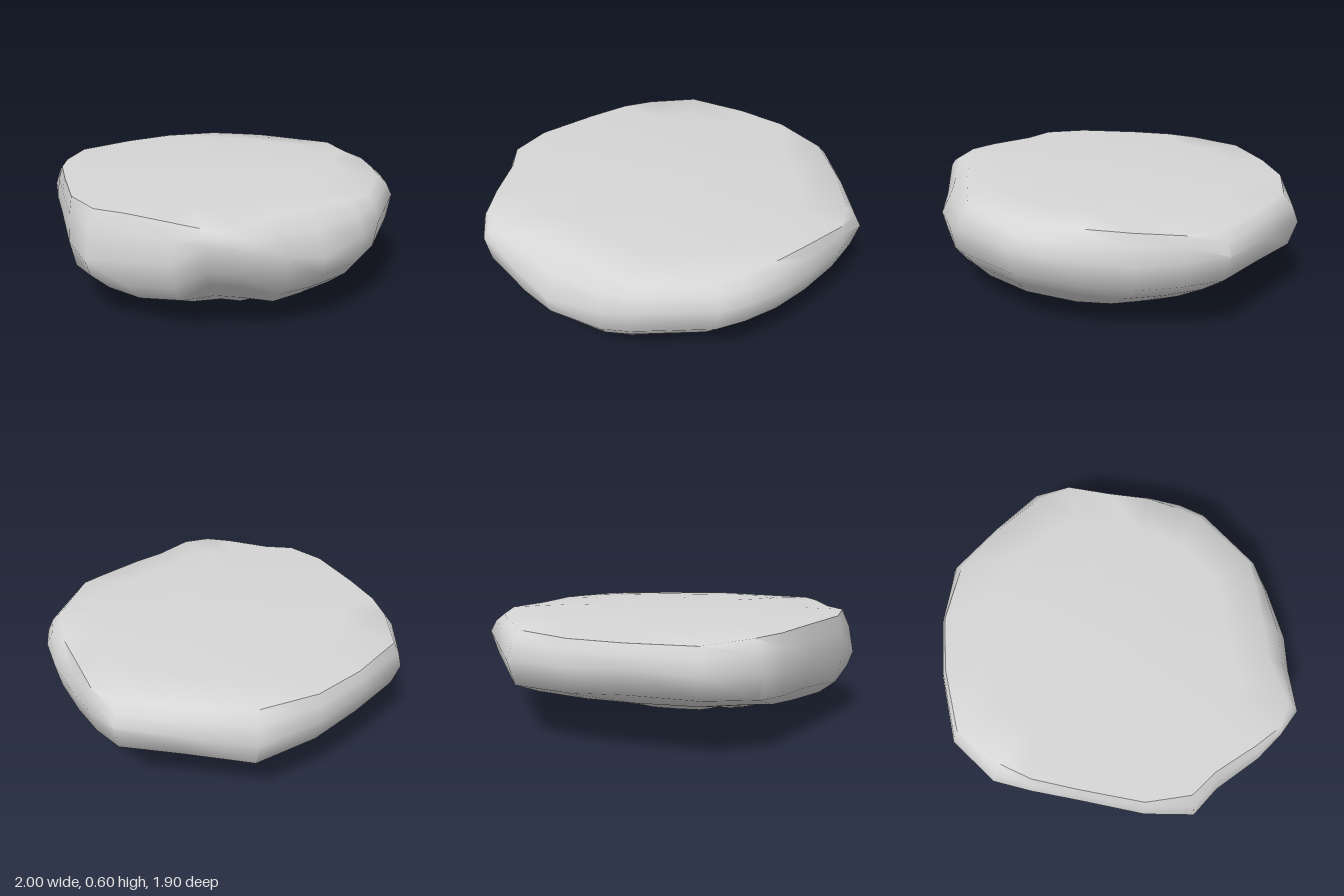
import * as THREE from 'three';
import { toCreasedNormals } from 'three/addons/utils/BufferGeometryUtils.js';

// Outline corners, clockwise from above: x, z, height of widest point, rim height, rim inset
const OUTLINE = [
  [-0.36, -0.95, 0.43, 0.56, 0.05], [0.0, -0.95, 0.45, 0.56, 0.04], [0.30, -0.91, 0.43, 0.56, 0.04],
  [0.63, -0.80, 0.42, 0.56, 0.08], [0.82, -0.52, 0.44, 0.56, 0.06], [1.0, -0.25, 0.45, 0.55, 0.08],
  [0.97, -0.05, 0.43, 0.56, 0.02], [0.90, 0.18, 0.41, 0.56, 0.05], [0.83, 0.40, 0.43, 0.57, 0.07],
  [0.74, 0.58, 0.45, 0.565, 0.09], [0.64, 0.70, 0.45, 0.565, 0.09], [0.27, 0.90, 0.43, 0.555, 0.07],
  [0.12, 0.93, 0.40, 0.56, 0.11], [-0.17, 0.95, 0.37, 0.57, 0.16], [-0.37, 0.90, 0.41, 0.57, 0.14],
  [-0.62, 0.85, 0.50, 0.56, 0.06], [-0.72, 0.73, 0.50, 0.57, 0.03], [-0.80, 0.60, 0.40, 0.575, 0.05],
  [-0.90, 0.35, 0.36, 0.575, 0.06], [-1.0, 0.20, 0.34, 0.58, 0.07], [-0.94, -0.05, 0.35, 0.58, 0.03],
  [-0.80, -0.37, 0.39, 0.58, 0.03], [-0.70, -0.60, 0.40, 0.575, 0.04], [-0.61, -0.78, 0.42, 0.57, 0.08],
];

// Underside height along x and along z
const KEEL_X = [[-1, 0.33], [-0.96, 0.23], [-0.82, 0.13], [-0.55, 0.11], [-0.4, 0.06], [-0.1, 0],
  [0.2, 0.03], [0.42, 0.09], [0.68, 0.1], [0.98, 0.31], [1, 0.38]];
const KEEL_Z = [[-0.95, 0.33], [-0.8, 0.25], [-0.6, 0.2], [-0.4, 0.13], [-0.17, 0.04], [0.05, 0.05],
  [0.3, 0], [0.5, 0.06], [0.76, 0.11], [0.92, 0.24], [0.95, 0.34]];

// Rounded lower edge: scale toward the lowest point, greatest drop below the widest line
const LOWER = [[0.97, 0.13], [0.87, 0.22], [0.74, 0.32], [0.58, 0.4], [0.4, 0.5], [0.2, 0.5]];

function sample(table, t) {
  if (t <= table[0][0]) return table[0][1];
  for (let i = 1; i < table.length; i++) {
    const [a, ya] = table[i - 1], [b, yb] = table[i];
    if (t <= b) return ya + (yb - ya) * (t - a) / (b - a);
  }
  return table[table.length - 1][1];
}

function underside(x, z) {
  return Math.hypot(sample(KEEL_X, x), sample(KEEL_Z, z));
}

function stoneGeometry() {
  const low = [-0.1, 0.3]; // lowest point of the underside
  const rings = [];

  // Nearly flat top, slightly domed toward the middle
  for (const s of [0.4, 0.75, 1]) {
    rings.push(OUTLINE.map(([x, z, , rim, inset]) => {
      const k = (1 - inset) * s;
      return [x * k, 0.6 - (0.6 - rim) * s * s, z * k];
    }));
  }
  // Rounded shoulder, then the widest line
  rings.push(OUTLINE.map(([x, z, wide, rim, inset]) => {
    const k = 1 - inset * 0.4;
    return [x * k, wide + (rim - wide) * 0.6, z * k];
  }));
  rings.push(OUTLINE.map(([x, z, wide]) => [x, wide, z]));
  // Underside, closing in on the lowest point
  for (const [s, drop] of LOWER) {
    rings.push(OUTLINE.map(([x, z, wide]) => {
      const px = low[0] + (x - low[0]) * s, pz = low[1] + (z - low[1]) * s;
      const floor = Math.min(underside(px, pz), wide - 0.08);
      return [px, Math.max(floor, wide - drop), pz];
    }));
  }

  const n = OUTLINE.length, index = [];
  const points = rings.flat();
  const top = points.push([0, 0.6, 0]) - 1;
  const bottom = points.push([low[0], 0, low[1]]) - 1;
  const last = (rings.length - 1) * n;
  for (let j = 0; j < n; j++) {
    const k = (j + 1) % n;
    index.push(top, k, j, last + j, last + k, bottom);
    for (let i = 0; i < last; i += n) {
      index.push(i + j, i + k, i + n + j, i + k, i + n + k, i + n + j);
    }
  }
  const geometry = new THREE.BufferGeometry();
  geometry.setAttribute('position', new THREE.Float32BufferAttribute(points.flat(), 3));
  geometry.setIndex(index);
  return toCreasedNormals(geometry, 0.95);
}

export function createModel() {
  const group = new THREE.Group();
  group.name = 'flatRock';
  const stoneGrey = new THREE.MeshStandardMaterial({ color: 0xd6d6d6 });
  stoneGrey.name = 'stoneGrey';
  const stone = new THREE.Mesh(stoneGeometry(), stoneGrey);
  stone.name = 'stone';
  group.add(stone);
  return group;
}
